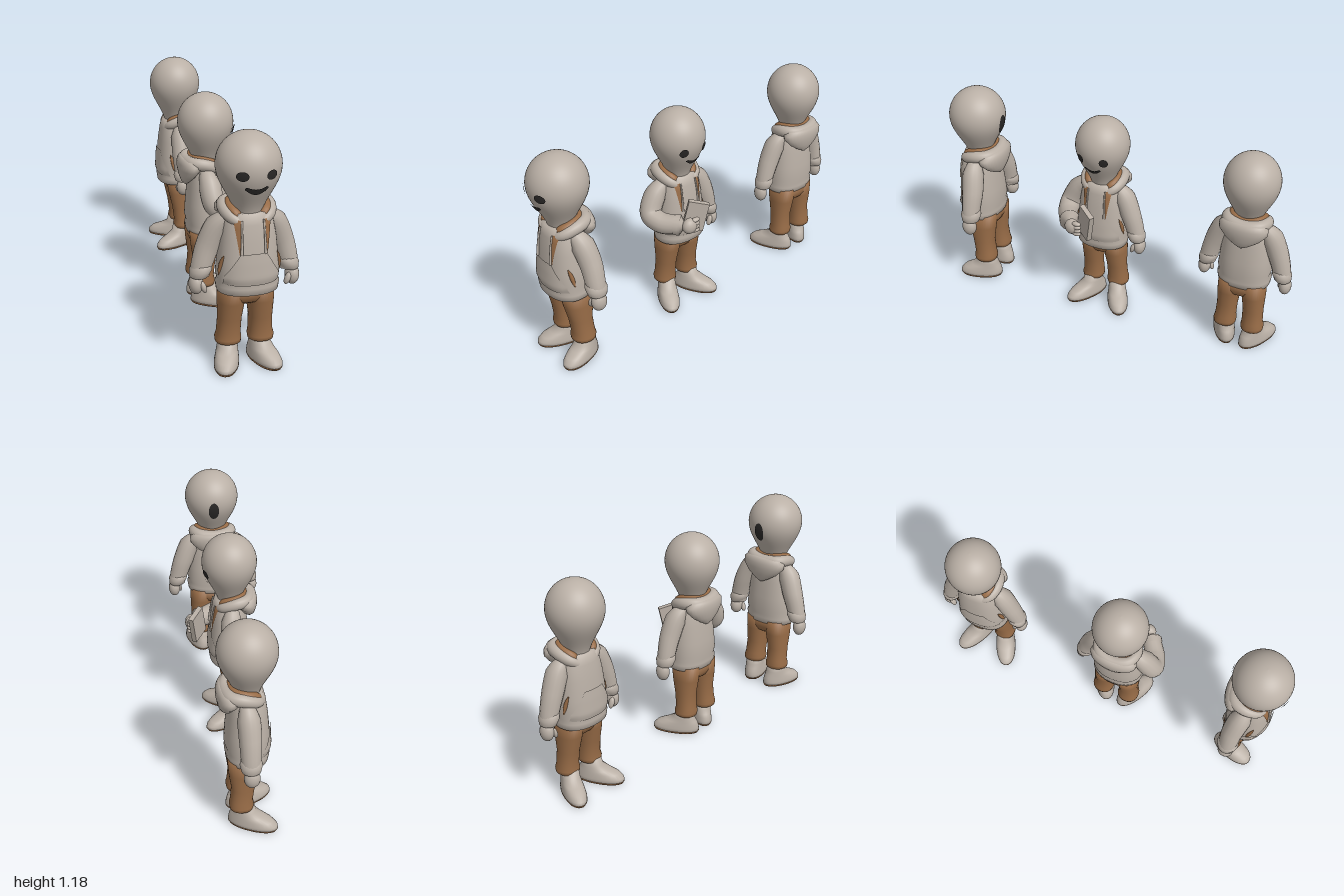
import * as THREE from 'three';

const mat = (name, color) => Object.assign(new THREE.MeshStandardMaterial({ color }), { name });

// Torso sections: y, half width, half depth
const TORSO = [[0.41, 0.13, 0.095], [0.416, 0.148, 0.112], [0.45, 0.153, 0.117], [0.468, 0.144, 0.111],
  [0.5, 0.152, 0.119], [0.58, 0.145, 0.114], [0.68, 0.134, 0.104], [0.76, 0.118, 0.092], [0.81, 0.09, 0.078]];
const TORSO_Z = 0.015, TORSO_P = 2.3;
const HEAD_R = 0.155, HEAD_Y = 1.03, HEAD_Z = 0.012;

// Radius of the egg-shaped head at a height
function headRadius(y) {
  if (y > HEAD_Y) return Math.sqrt(Math.max(0, HEAD_R ** 2 - (y - HEAD_Y) ** 2));
  return 0.06 + 0.095 * (0.5 + 0.5 * Math.cos(Math.PI * Math.min(1, (HEAD_Y - y) / 0.27)));
}
const headFront = (x, y) => Math.sqrt(Math.max(0, headRadius(y) ** 2 - x * x));

function torsoFront(x, y) {
  let i = 0;
  while (i < TORSO.length - 2 && TORSO[i + 1][0] < y) i++;
  const [a, b] = [TORSO[i], TORSO[i + 1]];
  const t = THREE.MathUtils.clamp((y - a[0]) / (b[0] - a[0]), 0, 1);
  const rx = a[1] + (b[1] - a[1]) * t, rz = a[2] + (b[2] - a[2]) * t;
  return TORSO_Z + rz * Math.max(0, 1 - Math.abs(x / rx) ** TORSO_P) ** (1 / TORSO_P);
}

// Closed skin over horizontal sections [cx, y, cz, rx, rz]
function loft(rings, power = 2, n = 32) {
  const pos = [], idx = [];
  const soft = (v) => Math.sign(v) * Math.abs(v) ** (2 / power);
  for (const [cx, y, cz, rx, rz] of rings)
    for (let i = 0; i < n; i++) {
      const a = (i / n) * Math.PI * 2;
      pos.push(cx + rx * soft(Math.cos(a)), y, cz + rz * soft(Math.sin(a)));
    }
  for (let j = 0; j < rings.length - 1; j++)
    for (let i = 0; i < n; i++) {
      const a = j * n + i, b = j * n + (i + 1) % n;
      idx.push(a, a + n, b, b, a + n, b + n);
    }
  const last = rings.length - 1, c = rings.length * n;
  pos.push(...rings[0].slice(0, 3), ...rings[last].slice(0, 3));
  for (let i = 0; i < n; i++) {
    const k = (i + 1) % n;
    idx.push(c, i, k, c + 1, last * n + k, last * n + i);
  }
  const g = new THREE.BufferGeometry();
  g.setAttribute('position', new THREE.Float32BufferAttribute(pos, 3));
  g.setIndex(idx);
  g.computeVertexNormals();
  return g;
}

// Tube whose radius changes along its path
function limb(points, radii, closed = false, seg = 40) {
  const curve = new THREE.CatmullRomCurve3(points.map((p) => new THREE.Vector3(...p)), closed);
  const g = new THREE.TubeGeometry(curve, seg, 1, 16, closed);
  const p = g.attributes.position, v = new THREE.Vector3();
  for (let k = 0; k < p.count; k++) {
    const u = Math.floor(k / 17) / seg, c = curve.getPointAt(u);
    const f = u * (radii.length - 1), i = Math.min(radii.length - 2, Math.floor(f));
    const r = radii[i] + (radii[i + 1] - radii[i]) * (f - i);
    v.fromBufferAttribute(p, k).sub(c).multiplyScalar(r).add(c);
    p.setXYZ(k, v.x, v.y, v.z);
  }
  return g;
}

// Thin sheet laid over a surface; place(u, v) gives x and y for u, v in -1..1
function patch(surface, offset, place) {
  const g = new THREE.PlaneGeometry(2, 2, 16, 12), p = g.attributes.position;
  for (let i = 0; i < p.count; i++) {
    const [x, y] = place(p.getX(i), p.getY(i));
    p.setXYZ(i, x, y, surface(x, y) + offset);
  }
  g.computeVertexNormals();
  return g;
}
const oval = (cx, cy, rx, ry) => (u, v) =>
  [cx + rx * u * Math.sqrt(1 - v * v / 2), cy + ry * v * Math.sqrt(1 - u * u / 2)];

function makeFigure(m, name, o) {
  const fig = new THREE.Group();
  fig.name = name;
  const add = (part, geo, material, parent = fig) => {
    const mesh = new THREE.Mesh(geo, material);
    mesh.name = part;
    parent.add(mesh);
    return mesh;
  };
  const ball = (part, x, y, z, rx, ry, rz) => {
    const b = add(part, new THREE.SphereGeometry(1, 20, 14), m.clay);
    b.position.set(x, y, z);
    b.scale.set(rx, ry, rz);
    return b;
  };

  // Head with neck and face
  const head = new THREE.Group();
  head.name = 'head';
  head.position.z = HEAD_Z;
  fig.add(head);
  const profile = [];
  for (let i = 0; i <= 16; i++) {
    const y = 0.74 + (HEAD_Y - 0.74) * i / 16;
    profile.push(new THREE.Vector2(headRadius(y), y));
  }
  for (let i = 1; i <= 14; i++) {
    const a = (i / 14) * Math.PI / 2;
    profile.push(new THREE.Vector2(HEAD_R * Math.cos(a), HEAD_Y + HEAD_R * Math.sin(a)));
  }
  add('skull', new THREE.LatheGeometry(profile, 48), m.clay, head);
  if (o.face) {
    const { eyeX, eyeY, eyeW, eyeH, mouthY, mouthW, mouthH, smile } = o.face;
    for (const s of [-1, 1])
      add('eye', patch(headFront, 0.008, oval(s * eyeX, eyeY, eyeW, eyeH)), m.dark, head);
    add('mouth', patch(headFront, 0.008, (u, v) => [u * mouthW * Math.sqrt(1 - v * v / 3),
      mouthY + smile * u * u + v * mouthH * (1 - 0.3 * u * u)]), m.dark, head);
  }
  if (o.backSpot)
    add('backOfHeadSpot', patch(headFront, 0.005, oval(0, 1, 0.03, 0.054)), m.dark, head).rotation.y = Math.PI;

  // Hooded top
  add('torso', loft(TORSO.map(([y, rx, rz]) => [0, y, TORSO_Z, rx, rz]), TORSO_P, 48), m.clay);
  const ring = (pts) => [...pts, ...pts.slice(1, -1).reverse().map(([x, y, z]) => [-x, y, z])];
  add('hoodRim', limb(ring([[0, 0.815, -0.1], [0.085, 0.82, -0.075], [0.108, 0.815, -0.015], [0.085, 0.787, 0.055], [0, 0.745, 0.08]]),
    [0.036, 0.034, 0.03, 0.016, 0.03, 0.034, 0.036], true, 64), m.clay);
  add('hoodLining', limb(ring([[0, 0.822, -0.07], [0.065, 0.828, -0.05], [0.085, 0.824, -0.005], [0.07, 0.803, 0.05], [0, 0.745, 0.06]]),
    [0.03, 0.03, 0.026, 0.006, 0.026, 0.03, 0.03], true, 64), m.brown);
  add('hoodDrape', loft([[0, 0.685, -0.1, 0.008, 0.008], [0, 0.705, -0.1, 0.045, 0.026], [0, 0.74, -0.093, 0.098, 0.045],
    [0, 0.78, -0.082, 0.135, 0.064], [0, 0.81, -0.077, 0.138, 0.068], [0, 0.832, -0.077, 0.118, 0.062],
    [0, 0.842, -0.085, 0.085, 0.04]]), m.clay);

  // Front pocket, side openings and drawstrings
  add('pocket', patch(torsoFront, 0.007, (u, v) => {
    const t = (v + 1) / 2;
    return [u * (0.134 - 0.072 * Math.max(0, t - 0.25) / 0.75), 0.47 + 0.158 * t];
  }), m.clay);
  for (const s of [-1, 1]) {
    add('sideOpening', limb([[0.128, 0.61], [0.137, 0.575], [0.143, 0.54], [0.148, 0.505]].map(([x, y]) =>
      [s * x, y, torsoFront(x, y)]), [0.002, 0.009, 0.011, 0.009, 0.002], false, 20), m.brown);
    if (!o.strings) continue;
    add('stringBacking', patch(torsoFront, 0.005, (u, v) =>
      [s * (0.067 + 0.005 * v) + u * (0.011 + 0.006 * v), 0.705 + 0.08 * v]), m.brown);
    add('drawstring', limb([0.785, 0.73, 0.68, 0.625].map((y) => {
      const x = s * (0.055 - 0.03 * (y - 0.7));
      return [x, y, torsoFront(x, y) + 0.006];
    }), [0.005, 0.005, 0.007], false, 16), m.clay);
  }

  // Arms and hands
  const az = o.armZ;
  for (const s of [-1, 1]) {
    if (o.book && s < 0) {
      add('bentSleeve', limb([[-0.08, 0.765, 0], [-0.15, 0.72, 0], [-0.205, 0.62, 0.02], [-0.19, 0.59, 0.09], [-0.125, 0.595, 0.19]],
        [0.04, 0.062, 0.062, 0.058, 0.052]), m.clay);
      add('bentCuff', limb([[-0.16, 0.592, 0.14], [-0.118, 0.595, 0.205]], [0.02, 0.058, 0.058, 0.02], false, 12), m.clay);
      ball('holdingHand', -0.095, 0.595, 0.225, 0.046, 0.045, 0.036);
      for (let i = 0; i < 4; i++) ball('finger', -0.062, 0.564 + i * 0.021, 0.238, 0.028, 0.013, 0.016);
      const book = add('book', new THREE.BoxGeometry(0.118, 0.17, 0.03), m.clay);
      book.position.set(-0.025, 0.62, 0.195);
      book.rotation.set(0, -0.6, -0.23, 'YXZ');
      continue;
    }
    add('sleeve', limb([[s * 0.075, 0.775, 0], [s * 0.13, 0.735, az * 0.5], [s * 0.18, 0.63, az], [s * 0.208, 0.54, az], [s * 0.22, 0.485, az]],
      [0.03, 0.06, 0.059, 0.054, 0.048]), m.clay);
    add('cuff', loft([[s * 0.228, 0.468, az, 0.03, 0.034], [s * 0.224, 0.475, az, 0.044, 0.05],
      [s * 0.215, 0.507, az, 0.054, 0.058], [s * 0.206, 0.54, az, 0.048, 0.05]]), m.clay);
    ball('hand', s * 0.238, 0.435, az + 0.003, 0.035, 0.052, 0.042);
    ball('thumb', s * 0.208, 0.425, az + 0.028, 0.015, 0.032, 0.017).rotation.z = -s * 0.35;
  }

  // Trousers and shoes
  add('trouserSeat', loft([[0, 0.335, -0.006, 0.06, 0.045], [0, 0.35, -0.006, 0.1, 0.068], [0, 0.38, -0.005, 0.13, 0.084],
    [0, 0.43, -0.004, 0.137, 0.09]], 2.5), m.brown);
  for (const s of [-1, 1]) {
    add('trouserLeg', loft([[0.082, 0.115, -0.02, 0.05, 0.05], [0.082, 0.122, -0.02, 0.063, 0.063], [0.082, 0.142, -0.02, 0.065, 0.066],
      [0.08, 0.17, -0.02, 0.059, 0.06], [0.077, 0.25, -0.012, 0.058, 0.062], [0.072, 0.345, -0.008, 0.066, 0.08],
      [0.066, 0.43, -0.005, 0.07, 0.09]].map(([x, ...r]) => [s * x, ...r]), 2.2), m.brown);
    const foot = new THREE.Group();
    foot.name = 'foot';
    foot.position.set(s * 0.083, 0, o.footZ);
    foot.rotation.y = s * o.splay;
    fig.add(foot);
    add('shoe', loft([[0, 0.007, 0.04, 0.055, 0.118], [0, 0.016, 0.04, 0.061, 0.124], [0, 0.032, 0.039, 0.061, 0.122],
      [0, 0.054, 0.03, 0.057, 0.109], [0, 0.072, 0.012, 0.054, 0.082], [0, 0.095, -0.002, 0.05, 0.06],
      [0, 0.14, -0.002, 0.046, 0.048]].map(([x, y, z, rx, rz]) =>
      [x, y, z * o.footSize, rx, rz * (y < 0.09 ? o.footSize : 1)]), 2.2), m.clay, foot);
    add('sole', loft([[0, 0, 0.04, 0.055, 0.118], [0, 0.011, 0.04, 0.061, 0.124]].map(([x, y, z, rx, rz]) =>
      [x, y, z * o.footSize, rx, rz * o.footSize]), 2.2), m.brown, foot);
  }
  return fig;
}

export function createModel() {
  const m = {
    clay: mat('warm grey clay', 0xbab0a6),
    brown: mat('brown cloth', 0x986c47),
    dark: mat('dark features', 0x2a2827),
  };
  const model = new THREE.Group();
  model.name = 'threeFigures';

  const front = makeFigure(m, 'frontFigure', {
    armZ: -0.03, splay: 0.32, footZ: -0.025, footSize: 1, strings: true, backSpot: true,
    face: { eyeX: 0.068, eyeY: 1.018, eyeW: 0.027, eyeH: 0.023, mouthY: 0.938, mouthW: 0.055, mouthH: 0.015, smile: 0.017 },
  });
  front.position.set(0, 0, 0.83);

  const middle = makeFigure(m, 'bookFigure', {
    armZ: 0.02, splay: 0.5, footZ: 0, footSize: 1.12, strings: true, book: true,
    face: { eyeX: 0.07, eyeY: 0.995, eyeW: 0.022, eyeH: 0.026, mouthY: 0.92, mouthW: 0.048, mouthH: 0.011, smile: 0.018 },
  });
  middle.position.set(-0.028, 0, 0.085);
  middle.rotation.y = Math.PI / 2;

  const back = makeFigure(m, 'backFigure', { armZ: 0.01, splay: 0.45, footZ: 0, footSize: 1.12 });
  back.position.set(0.01, 0, -0.747);
  back.rotation.y = -Math.PI / 2;

  for (const f of [middle, back]) f.scale.set(0.94, 0.985, 0.95);
  model.add(front, middle, back);
  return model;
}
